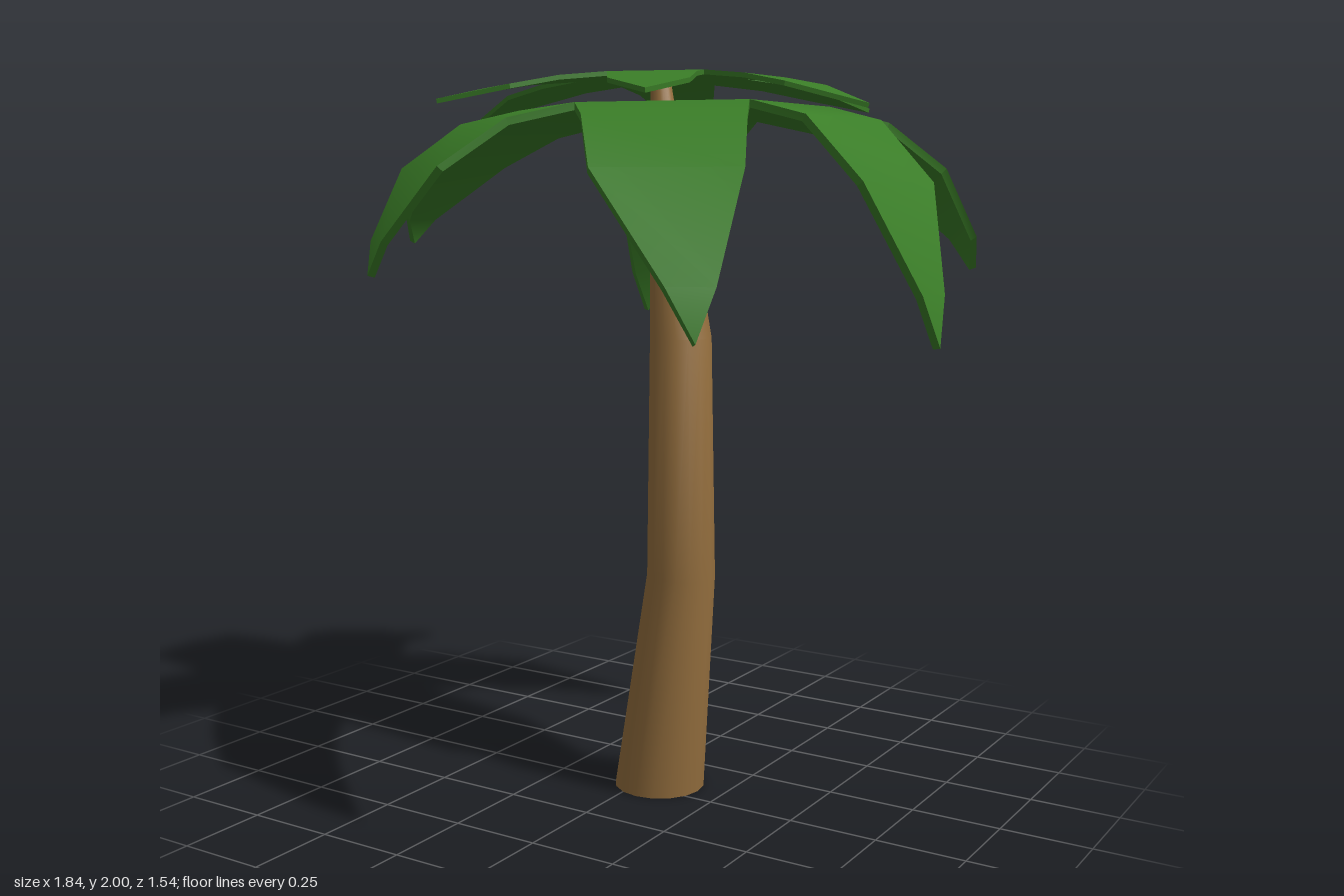
import * as THREE from 'three';
import { mergeVertices } from 'three/addons/utils/BufferGeometryUtils.js';

const V = (x, y, z) => new THREE.Vector3(x, y, z);

// Leaf: a curved plate built from paired edge points, centre to tip
function leafGeometry(rows, thickness) {
  const spine = rows.map(([a, b]) => a.clone().lerp(b, 0.5));
  const top = [], low = [];
  rows.forEach(([a, b], r) => {
    const along = spine[Math.min(r + 1, rows.length - 1)].clone().sub(spine[Math.max(r - 1, 0)]).normalize();
    const normal = V(0, 1, 0).addScaledVector(along, -along.y).normalize();
    for (const p of [a, b]) {
      top.push(p);
      low.push(p.clone().addScaledVector(normal, -thickness));
    }
  });
  const n = top.length, pos = [], index = [];
  const add = (list) => {
    const start = pos.length / 3;
    list.forEach((p) => pos.push(p.x, p.y, p.z));
    return start;
  };
  const t = add(top), l = add(low);
  for (let i = 0; i < n - 2; i += 2) {
    if (i > 0) index.push(t + i, t + i + 1, t + i + 2, l + i, l + i + 2, l + i + 1);
    if (i < n - 4) {
      index.push(t + i + 1, t + i + 3, t + i + 2, l + i + 1, l + i + 2, l + i + 3);
    }
    if (i === 0) continue;
    // thin rims along both edges
    const ra = add([top[i], top[i + 2], low[i + 2], low[i]]);
    index.push(ra, ra + 1, ra + 2, ra, ra + 2, ra + 3);
    const rb = add([top[i + 1], top[i + 3], low[i + 3], low[i + 1]]);
    index.push(rb, rb + 2, rb + 1, rb, rb + 3, rb + 2);
  }
  const g = new THREE.BufferGeometry();
  g.setAttribute('position', new THREE.Float32BufferAttribute(pos, 3));
  g.setIndex(index);
  g.computeVertexNormals();
  return g;
}

// Ring of leaves sharing a centre and the notches between neighbours
// leaf row: tip x, y, z, first edge x, z, second edge x, z, edge height
function leafRing(name, spec, material) {
  const ring = new THREE.Group();
  ring.name = name;
  const { centre, notches, notchY, shoulderY, leaves, bulge, thickness } = spec;
  leaves.forEach(([tx, ty, tz, ax, az, bx, bz, my], i) => {
    const tip = V(tx, ty, tz);
    const mids = [V(ax, my, az), V(bx, my, bz)];
    const roots = [notches[i], notches[(i + 1) % notches.length]].map(([x, z]) => V(x, notchY, z));
    const shoulders = mids.map((m, k) => {
      const p = m.clone().lerp(roots[k], 0.5);
      p.y = shoulderY;
      return p;
    });
    const out = tip.clone().sub(mids[0].clone().lerp(mids[1], 0.5)).setY(0).multiplyScalar(bulge);
    const ends = mids.map((m) => m.clone().lerp(tip, 0.68).add(out));
    const leaf = new THREE.Mesh(
      leafGeometry([[centre, centre], roots, shoulders, mids, ends, [tip, tip]], thickness), material);
    leaf.name = 'leaf' + (i + 1);
    ring.add(leaf);
  });
  return ring;
}

export function createModel() {
  const palm = new THREE.Group();
  palm.name = 'palmTree';
  const bark = new THREE.MeshStandardMaterial({ color: 0x96703f });
  bark.name = 'bark brown';
  const green = new THREE.MeshStandardMaterial({ color: 0x3a7d27 });
  green.name = 'leaf green';

  // Bent, tapering trunk: x, y, z, radius of each ring from base to top
  const rings = [
    [0.05, 0, -0.053, 0.128],
    [0.172, 0.65, 0.036, 0.094],
    [0.162, 1.3, 0.026, 0.084],
    [0.05, 1.985, -0.05, 0.028],
  ];
  let tube = new THREE.CylinderGeometry(1, 1, 1, 16, rings.length - 1, true);
  const p = tube.attributes.position;
  for (let i = 0; i < p.count; i++) {
    const [x, y, z, r] = rings[Math.round((p.getY(i) + 0.5) * (rings.length - 1))];
    p.setXYZ(i, x + p.getX(i) * r, y, z + p.getZ(i) * r);
  }
  tube.deleteAttribute('uv');
  tube.deleteAttribute('normal');
  tube = mergeVertices(tube, 1e-4);
  tube.computeVertexNormals();
  const trunk = new THREE.Mesh(tube, bark);
  trunk.name = 'trunk';
  palm.add(trunk);

  // Flat trunk ends
  [[rings[0], Math.PI / 2, 'trunkBase'], [rings[3], -Math.PI / 2, 'trunkTop']].forEach(([[x, y, z, r], turn, name]) => {
    const cap = new THREE.Mesh(new THREE.CircleGeometry(r, 16), bark);
    cap.rotation.x = turn;
    cap.position.set(x, y, z);
    cap.name = name;
    palm.add(cap);
  });

  // Large drooping leaves
  palm.add(leafRing('lowerLeaves', {
    centre: V(0.08, 1.92, -0.05),
    notches: [[-0.33, 0.085], [-0.3, -0.355], [0.125, -0.465], [0.485, -0.2], [0.465, 0.21], [0.035, 0.34]],
    notchY: 1.91, shoulderY: 1.87, bulge: 0.15, thickness: 0.02,
    leaves: [
      [-0.92, 1.54, -0.14, -0.72, 0.03, -0.7, -0.325, 1.78],
      [-0.44, 1.31, -0.75, -0.46, -0.63, -0.13, -0.775, 1.69],
      [0.765, 1.48, -0.565, 0.44, -0.66, 0.72, -0.44, 1.75],
      [0.915, 1.31, 0.06, 0.81, -0.13, 0.78, 0.23, 1.71],
      [0.64, 1.36, 0.765, 0.64, 0.55, 0.32, 0.7, 1.74],
      [-0.485, 1.47, 0.545, -0.22, 0.575, -0.51, 0.37, 1.75],
    ],
  }, green));

  // Small crown leaves
  palm.add(leafRing('upperLeaves', {
    centre: V(0.07, 2, -0.01),
    notches: [[-0.14, 0.075], [-0.15, -0.165], [0.11, -0.24], [0.295, -0.085], [0.29, 0.13], [0.055, 0.22]],
    notchY: 1.993, shoulderY: 1.98, bulge: 0, thickness: 0.012,
    leaves: [
      [-0.565, 1.9, -0.05, -0.4, 0.04, -0.39, -0.15, 1.955],
      [-0.2, 1.905, -0.6, -0.22, -0.47, -0.06, -0.53, 1.945],
      [0.46, 1.92, -0.505, 0.3, -0.45, 0.44, -0.3, 1.955],
      [0.715, 1.9, 0.06, 0.55, -0.04, 0.53, 0.15, 1.955],
      [0.39, 1.92, 0.57, 0.39, 0.37, 0.22, 0.47, 1.955],
      [-0.28, 1.92, 0.5, -0.1, 0.43, -0.27, 0.32, 1.955],
    ],
  }, green));

  return palm;
}
